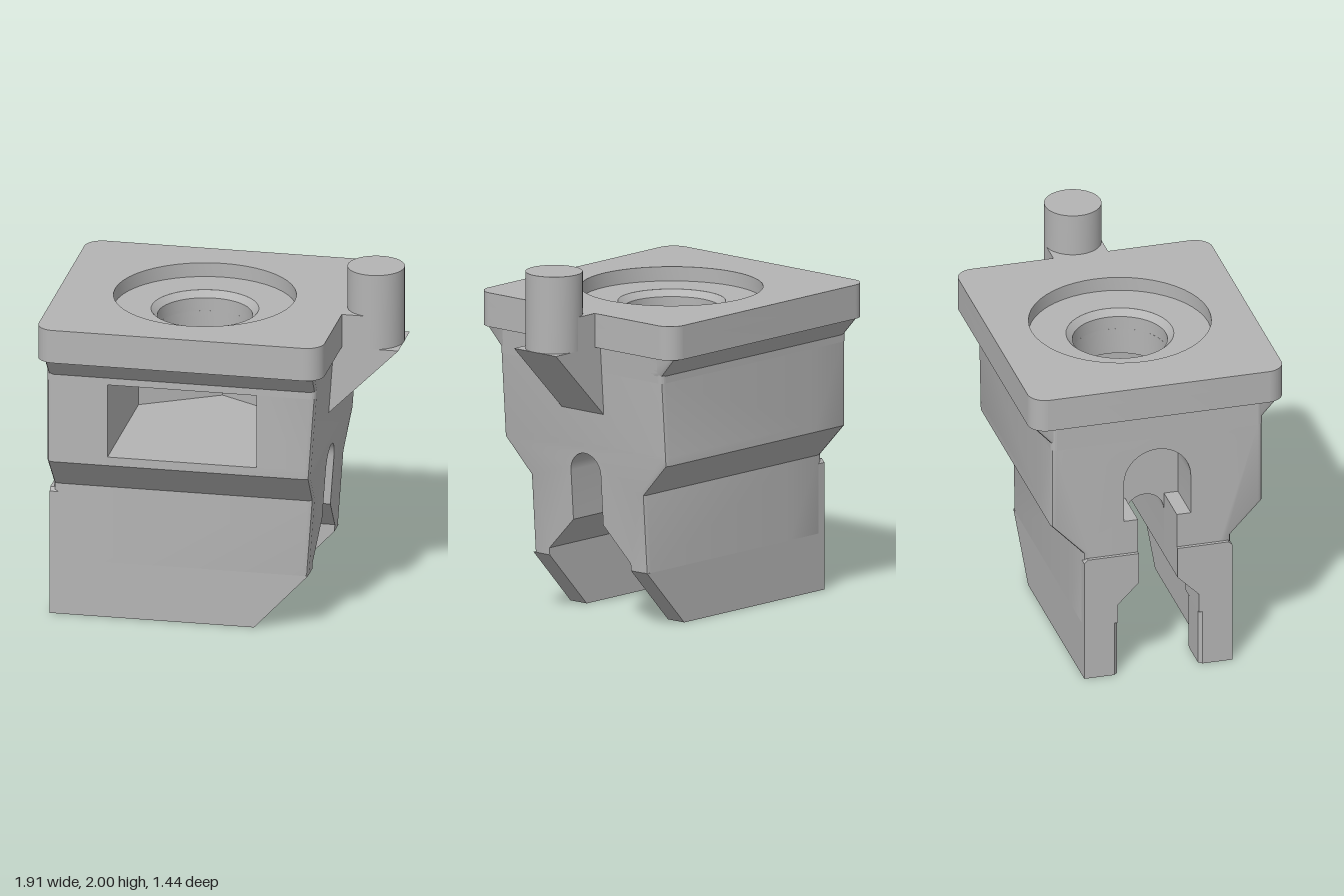
import * as THREE from 'three';
import { toCreasedNormals } from 'three/addons/utils/BufferGeometryUtils.js';

const grey = new THREE.MeshStandardMaterial({ color: 0xb4b4b4, side: THREE.DoubleSide });
grey.name = 'plain grey';

// The +x end of the body leans outwards towards the top
const endX = (y) => 0.5 + (y - 0.32) * 0.072;
const shapeOf = (pts) => new THREE.Shape(pts.map((p) => new THREE.Vector2(p[0], p[1])));
const mirrorZ = (pts) => pts.map(([z, y]) => [-z, y]).reverse();

function roundedRect(x0, x1, h, r) {
  const s = new THREE.Shape();
  s.absarc(x1 - r, h - r, r, 0, Math.PI / 2);
  s.absarc(x0 + r, h - r, r, Math.PI / 2, Math.PI);
  s.absarc(x0 + r, -h + r, r, Math.PI, Math.PI * 1.5);
  s.absarc(x1 - r, -h + r, r, Math.PI * 1.5, Math.PI * 2);
  return s;
}

// Half arch of slot points from -r to r around height y
function arch(r, y) {
  const pts = [];
  for (let i = 0; i <= 16; i++) {
    const a = Math.PI * (1 - i / 16);
    pts.push([r * Math.cos(a), y + r * Math.sin(a)]);
  }
  return pts;
}

export function createModel() {
  const model = new THREE.Group();
  const add = (name, geometry) => {
    const mesh = new THREE.Mesh(toCreasedNormals(geometry, 0.6), grey);
    mesh.name = name;
    model.add(mesh);
    return mesh;
  };

  // Cross-section in (z, y) run along x, with optional rounded outer edges at the ends
  function prism(name, pts, x0, x1, r0 = 0, r1 = 0) {
    const g = new THREE.ExtrudeGeometry(shapeOf(pts), { depth: 1, steps: 5, bevelEnabled: false });
    g.rotateY(Math.PI / 2);
    const p = g.attributes.position;
    for (let i = 0; i < p.count; i++) {
      const k = Math.round(p.getX(i) * 5), y = p.getY(i), z = p.getZ(i);
      const e = x1 === null ? endX(y) : x1;
      const xs = [x0, x0 + 0.3 * r0, x0 + r0, e - r1, e - 0.3 * r1, e];
      const inset = [r0, 0.3 * r0, 0, 0, 0.3 * r1, r1][k];
      p.setXYZ(i, xs[k], y, Math.abs(z) > 0.4 ? z - Math.sign(z) * inset : z);
    }
    return add(name, g);
  }

  // Plan shape (x, -z) raised from y0 to y1; the +x side follows the lean when asked
  function layer(name, shape, y0, y1, lean = false) {
    const g = new THREE.ExtrudeGeometry(shape, { depth: y1 - y0, bevelEnabled: false, curveSegments: 24 });
    g.rotateX(-Math.PI / 2).translate(0, y0, 0);
    const p = g.attributes.position;
    for (let i = 0; lean && i < p.count; i++) {
      if (p.getX(i) > 0.4) p.setX(i, p.getX(i) - 0.5 + endX(p.getY(i)));
    }
    return add(name, g);
  }

  const cx = -0.16, r = 0.03;
  const withHole = (shape, radius) => {
    shape.holes.push(new THREE.Path().absarc(cx, 0, radius, 0, Math.PI * 2, true));
    return shape;
  };

  // Top plate with a round recess and a chamfered bore
  layer('plateRim', withHole(roundedRect(-0.96, 0.635, 0.72, 0.1), 0.5), 1.68, 1.76);
  layer('plateBase', withHole(roundedRect(-0.96, 0.635, 0.72, 0.1), 0.295), 1.57, 1.68);
  const bore = [[0.295, 1.68], [0.26, 1.645], [0.26, 1.57]].map((p) => new THREE.Vector2(...p));
  add('boreChamfer', new THREE.LatheGeometry(bore, 64).toNonIndexed()).position.x = cx;

  // Shoulder under the plate
  layer('shoulder', withHole(roundedRect(-0.92, 0.5, 0.6, r), 0.26), 1.42, 1.57, true);
  const flare = [[0.5, 1.46], [0.6, 1.46], [0.7, 1.57], [0.5, 1.57]];
  prism('frontFlare', flare, -0.915, null, r, r);
  prism('backFlare', mirrorZ(flare), -0.915, null, r, r);

  // Middle band with the pointed pocket open to the front
  const pocket = shapeOf([
    [-0.66, 0.6], [-0.66, -0.6], [-0.58, -0.6], [-0.58, 0.24], [cx, 0.48], [0.25, 0.24], [0.25, -0.6],
    [0.5 - r, -0.6], [0.5 - 0.3 * r, -0.6 + 0.3 * r], [0.5, -0.6 + r],
    [0.5, 0.6 - r], [0.5 - 0.3 * r, 0.6 - 0.3 * r], [0.5 - r, 0.6],
  ]);
  layer('pocketBand', pocket, 1.0, 1.42, true);

  // Stepped trunk with the narrow arched slot
  const inner = [[0.11, 0.55], [0.3, 0.36], [0.3, 0.32]];
  const outer = [[0.42, 0.32], [0.42, 0.76], [0.6, 0.95]];
  prism('trunk', [
    ...outer, [0.6, 1.0], [-0.6, 1.0], ...mirrorZ(outer),
    ...mirrorZ(inner), ...arch(0.11, 0.83), ...inner,
  ], -0.66, null, 0, r);

  // Right end of the body with the wider upper keyhole
  const neck = [[0.19, 0.93], [0.11, 0.93], [0.11, 0.55], [0.23, 0.43], [0.23, 0.32]];
  prism('keyholeEnd', [
    ...outer, [0.6, 1.42], [-0.6, 1.42], ...mirrorZ(outer),
    ...mirrorZ(neck), ...arch(0.19, 1.16), ...neck,
  ], -0.92, -0.66, r, 0);

  const leg = shapeOf([[-0.94, 0], [0.2, 0], [0.5, 0.32], [-0.94, 0.32]]);
  const step = [[0.42, 0.32], [0.42, 0.71], [0.4, 0.73], [0.11, 0.73], [0.11, 0.55], [0.23, 0.43], [0.23, 0.32]];
  for (const s of [1, -1]) {
    const side = s > 0 ? 'front' : 'back';
    // Legs with a sloped toe
    const g = new THREE.ExtrudeGeometry(leg, { depth: 0.12, bevelEnabled: false });
    add(side + 'Leg', g.translate(0, 0, s > 0 ? 0.3 : -0.42));
    // Slightly raised end face
    prism(side + 'EndStep', s > 0 ? step : mirrorZ(step), -0.94, -0.88);
    // Thickened inner lip with a curved run-out
    const lip = new THREE.Shape();
    lip.moveTo(-0.94, -s * 0.31);
    lip.lineTo(-0.94, -s * 0.25);
    lip.lineTo(-0.92, -s * 0.23);
    lip.lineTo(-0.76, -s * 0.23);
    lip.quadraticCurveTo(-0.66, -s * 0.23, -0.62, -s * 0.31);
    layer(side + 'Lip', lip, 0, 0.32);
  }

  // Side bracket and upright peg
  const bracket = shapeOf([
    [0.5, 1.12], [0.95, 1.57], [0.795, 1.57], [0.795, 1.76], [0.63, 1.76], [0.63, 1.6], [0.5, 1.6],
  ]);
  const b = new THREE.ExtrudeGeometry(bracket, { depth: 0.31, bevelEnabled: false });
  add('bracket', b.translate(0, 0, -0.155));
  add('peg', new THREE.CylinderGeometry(0.157, 0.157, 0.43, 48).toNonIndexed()).position.set(0.795, 1.785, 0);

  return model;
}
